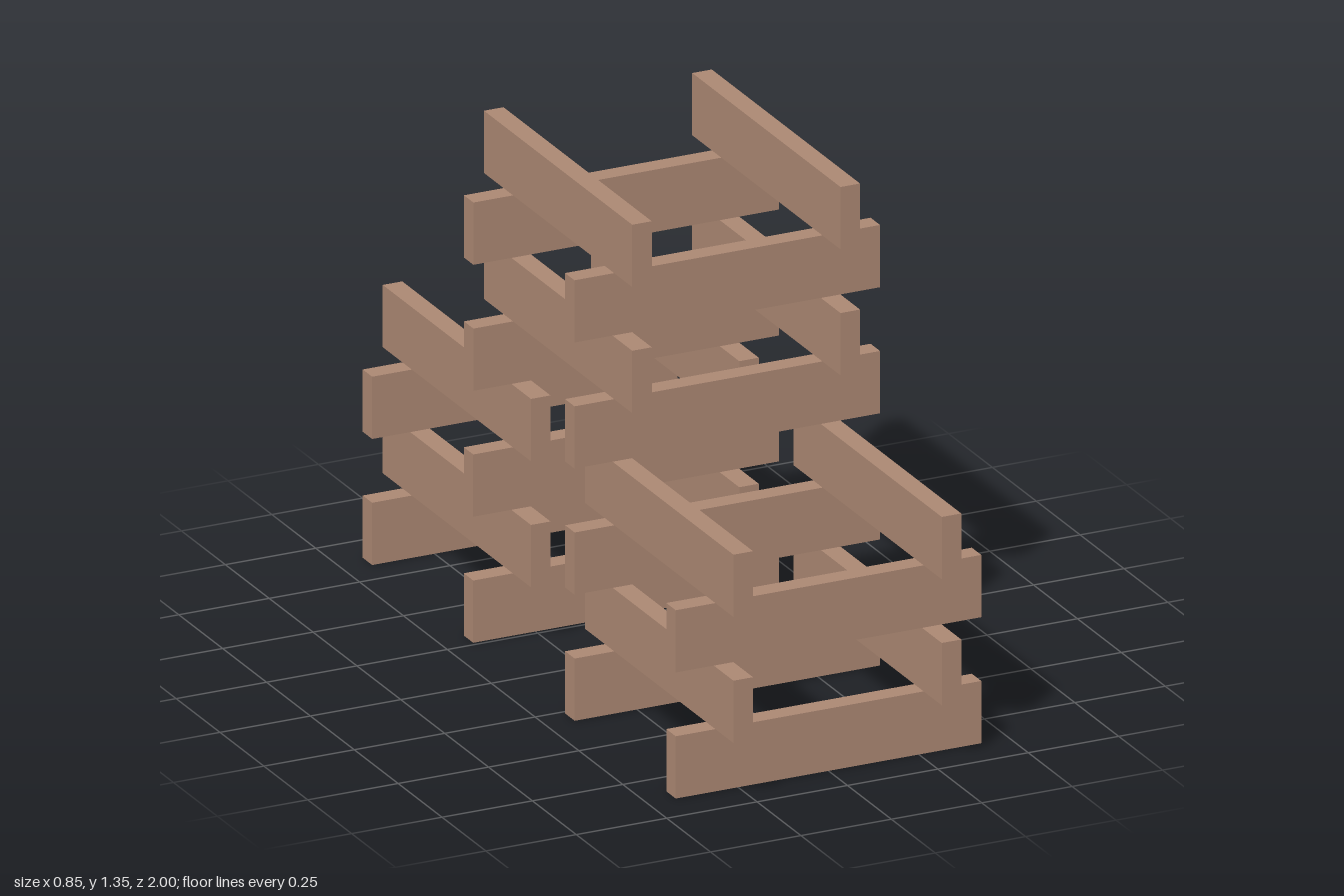
import * as THREE from 'three';

const LENGTH = 0.845, HEIGHT = 0.167, THICK = 0.054;
const PITCH = 0.169;   // vertical step from layer to layer
const OFFSET = 0.288;  // half the spacing of a pair of planks
const STACK_Z = 0.577; // centre of the front and back stacks

export function createModel() {
  const group = new THREE.Group();
  group.name = 'plankTower';
  const wood = new THREE.MeshStandardMaterial({ color: 0xac8873, flatShading: true });
  const crossGeometry = new THREE.BoxGeometry(LENGTH, HEIGHT, THICK);
  const lengthGeometry = new THREE.BoxGeometry(THICK, HEIGHT, LENGTH);

  // A square stack: pairs of planks that alternate in direction
  function addStack(name, z, firstLayer, layers) {
    const stack = new THREE.Group();
    stack.name = name;
    stack.position.z = z;
    for (let i = 0; i < layers; i++) {
      const across = i % 2 === 0;
      for (const side of [-1, 1]) {
        const plank = new THREE.Mesh(across ? crossGeometry : lengthGeometry, wood);
        plank.name = across ? 'crossPlank' : 'lengthwisePlank';
        plank.position.set(
          across ? 0 : side * OFFSET,
          (firstLayer + i) * PITCH + HEIGHT / 2,
          across ? side * OFFSET : 0
        );
        stack.add(plank);
      }
    }
    group.add(stack);
  }

  // Two lower stacks, with one bridging them on top
  addStack('frontStack', STACK_Z, 0, 4);
  addStack('backStack', -STACK_Z, 0, 4);
  addStack('topStack', 0, 4, 4);

  return group;
}
